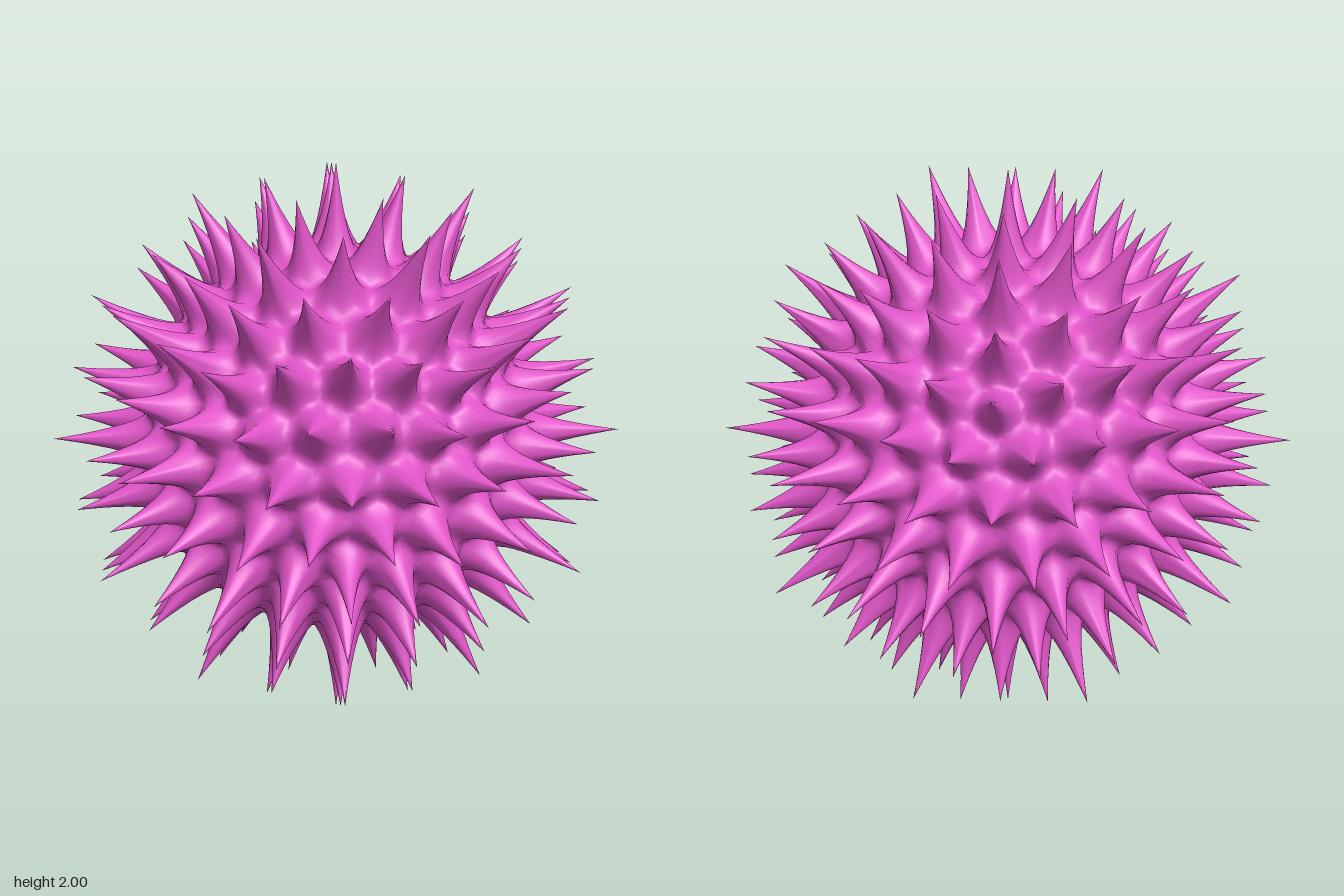
import * as THREE from 'three';
import { mergeVertices } from 'three/addons/utils/BufferGeometryUtils.js';

const FLOOR = 0.69;   // body radius under a spike
const RINGS = 9;      // rows from spike tip to valley
const SECTORS = 2;    // steps across each twelfth of a spike

const mid = (a, b) => a.clone().add(b).multiplyScalar(0.5);

// Tip positions: a once-divided icosahedron on the unit sphere, divided again with flat midpoints
function tipTriangles() {
  const ico = new THREE.IcosahedronGeometry(1, 1);
  ico.rotateZ(-Math.atan(2 / (1 + Math.sqrt(5)))); // one corner points straight up
  const pos = ico.attributes.position;
  const triangles = [];
  for (let i = 0; i < pos.count; i += 3) {
    const [a, b, c] = [0, 1, 2].map(k => new THREE.Vector3().fromBufferAttribute(pos, i + k));
    const ab = mid(a, b), bc = mid(b, c), ca = mid(c, a);
    triangles.push([a, ab, ca], [ab, b, bc], [ca, bc, c], [ab, bc, ca]);
  }
  return triangles;
}

// One wedge of a spike, flaring from its tip down to the valley line q0-q1
function addWedge(out, tip, q0, q1) {
  const axis = tip.clone().normalize();
  const base = axis.clone().multiplyScalar(FLOOR);
  const height = tip.length() - FLOOR;
  const point = (ring, s) => {
    const t = Math.pow(ring / RINGS, 1.3);
    const q = q0.clone().lerp(q1, s / SECTORS);
    return base.clone().lerp(q, t).addScaledVector(axis, height * Math.pow(1 - t, 2.2));
  };
  const tri = (...pts) => pts.forEach(p => out.push(p.x, p.y, p.z));
  for (let s = 0; s < SECTORS; s++) {
    for (let r = 0; r < RINGS; r++) {
      const a = point(r, s), b = point(r + 1, s), c = point(r + 1, s + 1), d = point(r, s + 1);
      tri(a, b, c);
      if (r > 0) tri(a, c, d);
    }
  }
}

export function createModel() {
  const out = [];
  for (const tri of tipTriangles()) {
    const centre = tri[0].clone().add(tri[1]).add(tri[2]).normalize().multiplyScalar(0.66);
    for (let k = 0; k < 3; k++) {
      const tip = tri[k];
      const next = mid(tip, tri[(k + 1) % 3]).normalize().multiplyScalar(0.68);
      const prev = mid(tip, tri[(k + 2) % 3]).normalize().multiplyScalar(0.68);
      addWedge(out, tip, next, centre);
      addWedge(out, tip, centre, prev);
    }
  }

  // Weld the wedges into one smooth skin
  let geometry = new THREE.BufferGeometry();
  geometry.setAttribute('position', new THREE.Float32BufferAttribute(out, 3));
  geometry = mergeVertices(geometry, 1e-5);
  geometry.computeVertexNormals();

  const ball = new THREE.Mesh(geometry, new THREE.MeshStandardMaterial({ color: 0xe055c8 }));
  ball.name = 'spikyBall';
  ball.position.y = 1;

  const model = new THREE.Group();
  model.name = 'spikyBallModel';
  model.add(ball);
  return model;
}
